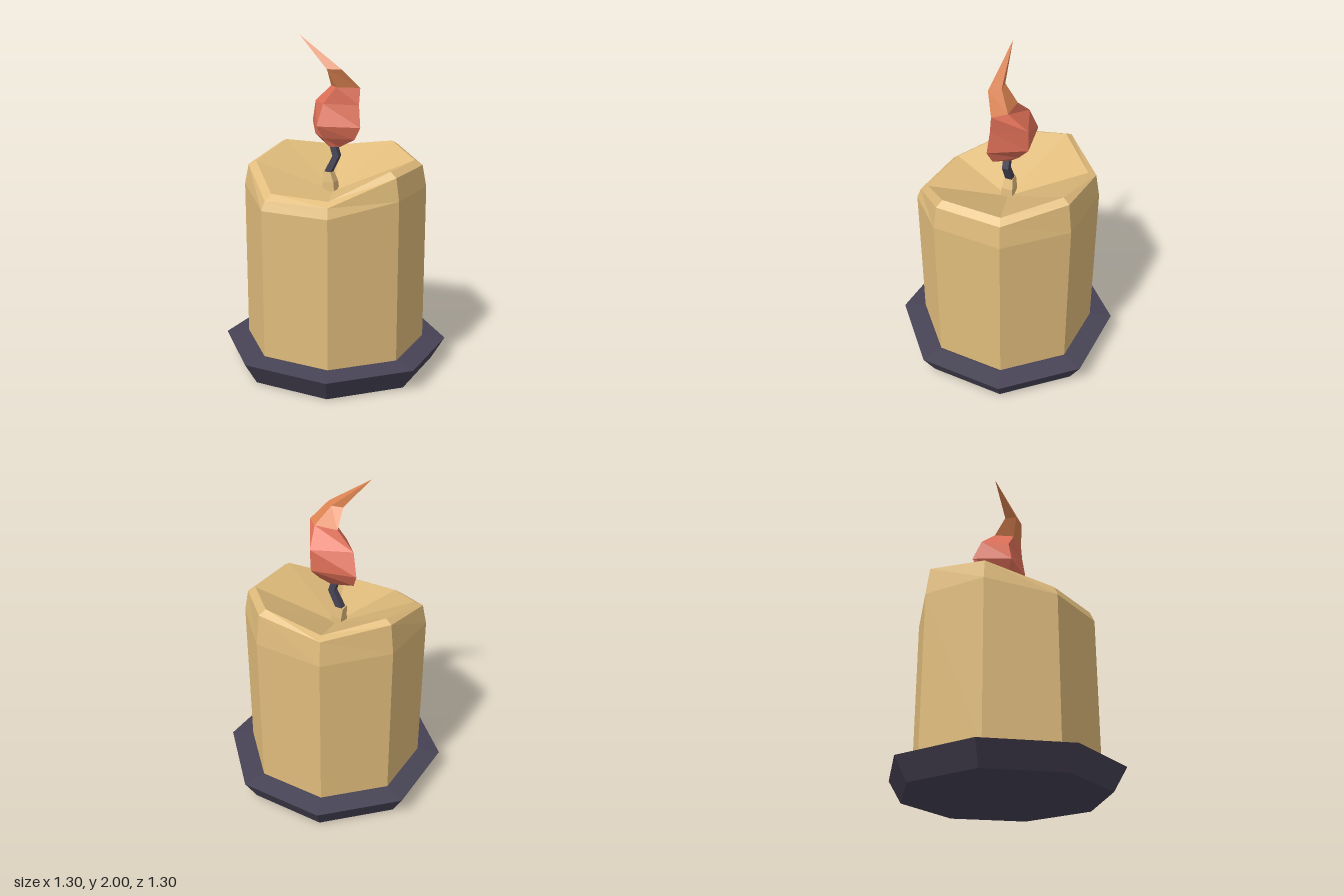
import * as THREE from 'three';

const material = (name, color) => {
  const m = new THREE.MeshStandardMaterial({ color });
  m.name = name;
  return m;
};

// Faceted surface through a stack of rings, listed from bottom to top
function loft(rings) {
  const positions = [];
  const triangle = (a, b, c) => {
    const area = new THREE.Triangle(a, b, c).getArea();
    if (area > 1e-7) [a, b, c].forEach((p) => positions.push(p.x, p.y, p.z));
  };
  for (let r = 0; r < rings.length - 1; r++) {
    const low = rings[r], high = rings[r + 1], n = low.length;
    for (let i = 0; i < n; i++) {
      const j = (i + 1) % n;
      triangle(low[i], high[i], high[j]);
      triangle(low[i], high[j], low[j]);
    }
  }
  const geometry = new THREE.BufferGeometry();
  geometry.setAttribute('position', new THREE.Float32BufferAttribute(positions, 3));
  geometry.computeVertexNormals();
  return geometry;
}

// Slightly turned octagon; the height may be one number or one per corner
const octagon = (radius, y) => Array.from({ length: 8 }, (_, i) => {
  const a = THREE.MathUtils.degToRad(25 + 45 * i);
  return new THREE.Vector3(radius * Math.cos(a), Array.isArray(y) ? y[i] : y, radius * Math.sin(a));
});

// Four-cornered ring at one height from [x, z] corners
const ring = (y, corners) => corners.map(([x, z]) => new THREE.Vector3(x, y, z));
const square = (x, y, z, s) => ring(y, [[x - s, z - s], [x + s, z - s], [x + s, z + s], [x - s, z + s]]);
const point = (x, y, z, n) => Array.from({ length: n }, () => new THREE.Vector3(x, y, z));

export function createModel() {
  const group = new THREE.Group();
  const wax = material('wax', 0xdfbb7b);
  const dark = material('dark iron', 0x474355);
  const red = material('flame red', 0xe07058);
  const orange = material('flame orange', 0xde8452);

  const add = (name, rings, mat) => {
    const mesh = new THREE.Mesh(loft(rings), mat);
    mesh.name = name;
    group.add(mesh);
  };

  // Flared dish
  add('dish', [
    point(0, 0, 0, 8), octagon(0.61, 0), octagon(0.69, 0.135),
    octagon(0.56, 0.15), point(0, 0.15, 0, 8),
  ], dark);

  // Candle body with a melted, uneven rim and a hollow top
  add('candleBody', [
    octagon(0.55, 0.14),
    octagon(0.55, [1.11, 1.04, 1.04, 1.11, 1.13, 1.11, 1.12, 1.11]),
    octagon(0.525, [1.24, 1.1, 1.095, 1.23, 1.305, 1.255, 1.3, 1.24]),
    octagon(0.478, [1.27, 1.125, 1.13, 1.25, 1.325, 1.27, 1.325, 1.27]),
    point(-0.01, 1.07, 0, 8),
  ], wax);

  // Wax drawn up around the foot of the wick
  add('wickFoot', [
    square(-0.025, 1.05, 0, 0.04), square(-0.03, 1.13, 0, 0.035),
    square(-0.045, 1.19, 0, 0.026), point(-0.045, 1.19, 0, 4),
  ], wax);

  // Bent wick
  add('wick', [
    square(-0.045, 1.18, 0, 0.022), square(0.012, 1.29, 0, 0.02),
    square(-0.01, 1.36, 0, 0.02), point(-0.01, 1.36, 0, 4),
  ], dark);

  // Flame: wide red belly and curled orange tip
  const neck = ring(1.705, [[-0.045, -0.045], [0.1, -0.05], [0.17, 0.02], [0.03, 0.05]]);
  add('flameBelly', [
    point(0, 1.345, 0, 4),
    ring(1.345, [[-0.04, -0.02], [0.01, -0.03], [0.035, 0.01], [-0.02, 0.03]]),
    ring(1.4, [[-0.168, -0.08], [0.045, -0.09], [0.14, 0.03], [-0.05, 0.06]]),
    ring(1.475, [[-0.2, -0.11], [0.065, -0.16], [0.182, 0.045], [-0.075, 0.098]]),
    ring(1.605, [[-0.16, -0.07], [0.07, -0.16], [0.167, 0.03], [-0.05, 0.06]]),
    neck,
  ], red);
  add('flameTip', [
    neck,
    ring(1.812, [[-0.04, 0.03], [0.03, 0.02], [0.08, 0.08], [-0.01, 0.095]]),
    point(-0.2, 2, 0.055, 4),
  ], orange);

  return group;
}
